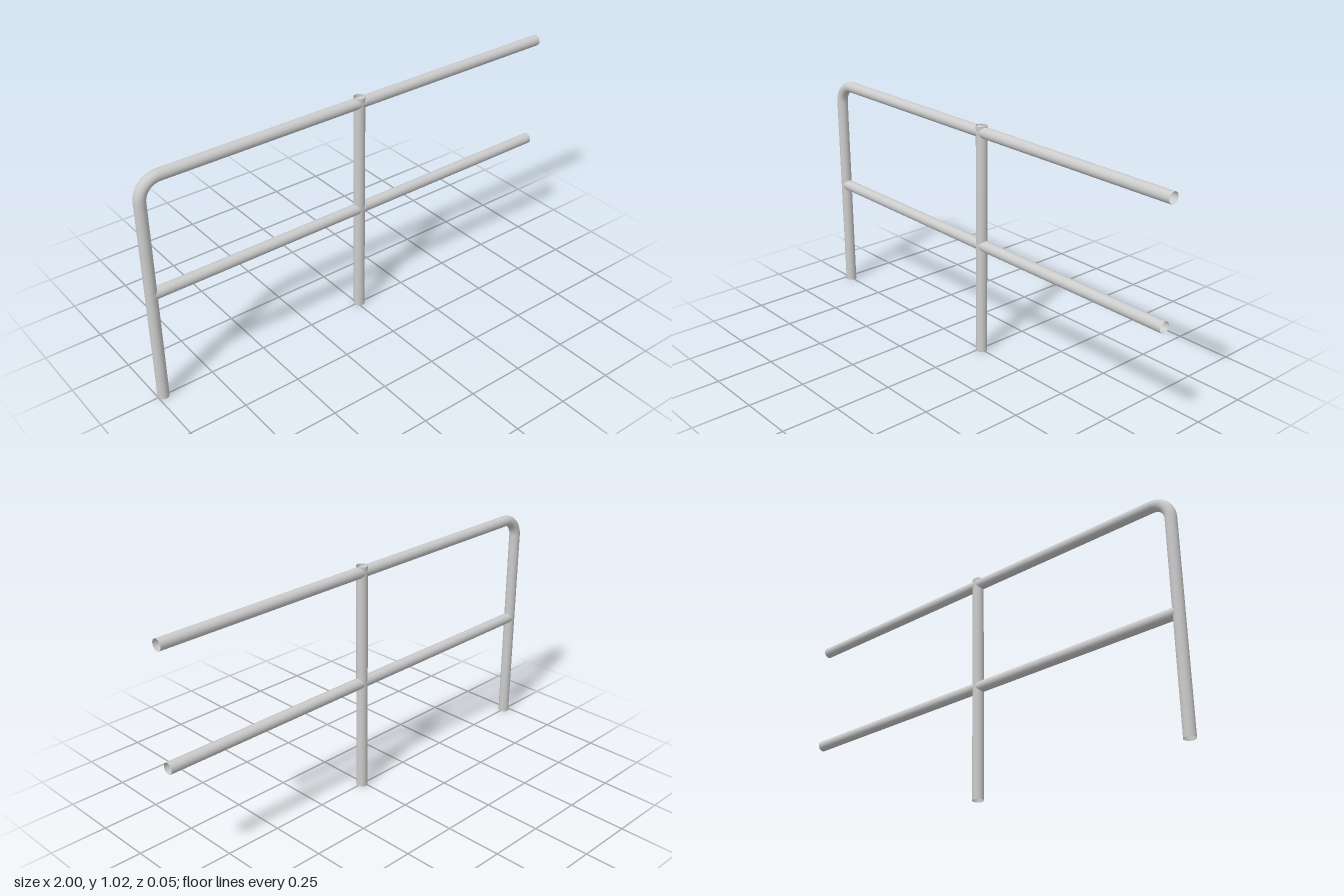
import * as THREE from 'three';

const R = 0.024;      // pipe radius
const BEND = 0.085;   // centreline radius of the corner bend
const SIDES = 32;
const END_X = -0.976; // end post
const MID_X = 0.01;   // middle post
const TOP_Y = 0.99;   // top rail
const MID_Y = 0.497;  // middle rail

export function createModel() {
  const group = new THREE.Group();
  const material = new THREE.MeshStandardMaterial({ color: 0xcccccc, side: THREE.DoubleSide });

  const add = (name, geometry) => {
    const mesh = new THREE.Mesh(geometry, material);
    mesh.name = name;
    group.add(mesh);
    return mesh;
  };

  // Open-ended upright pipe
  const post = (name, x, height) => {
    add(name, new THREE.CylinderGeometry(R, R, height, SIDES, 1, true))
      .position.set(x, height / 2, 0);
  };

  // Open-ended horizontal pipe
  const rail = (name, y, x0, x1) => {
    const geometry = new THREE.CylinderGeometry(R, R, x1 - x0, SIDES, 1, true);
    geometry.rotateZ(Math.PI / 2);
    add(name, geometry).position.set((x0 + x1) / 2, y, 0);
  };

  post('endPost', END_X, TOP_Y - BEND);
  post('middlePost', MID_X, 1.017);
  rail('topRail', TOP_Y, END_X + BEND, 1);
  rail('middleRail', MID_Y, END_X, 1);

  // Quarter bend joining the end post to the top rail
  const bend = new THREE.TorusGeometry(BEND, R, SIDES, 16, Math.PI / 2);
  bend.rotateZ(Math.PI / 2);
  add('cornerBend', bend).position.set(END_X + BEND, TOP_Y - BEND, 0);

  return group;
}
